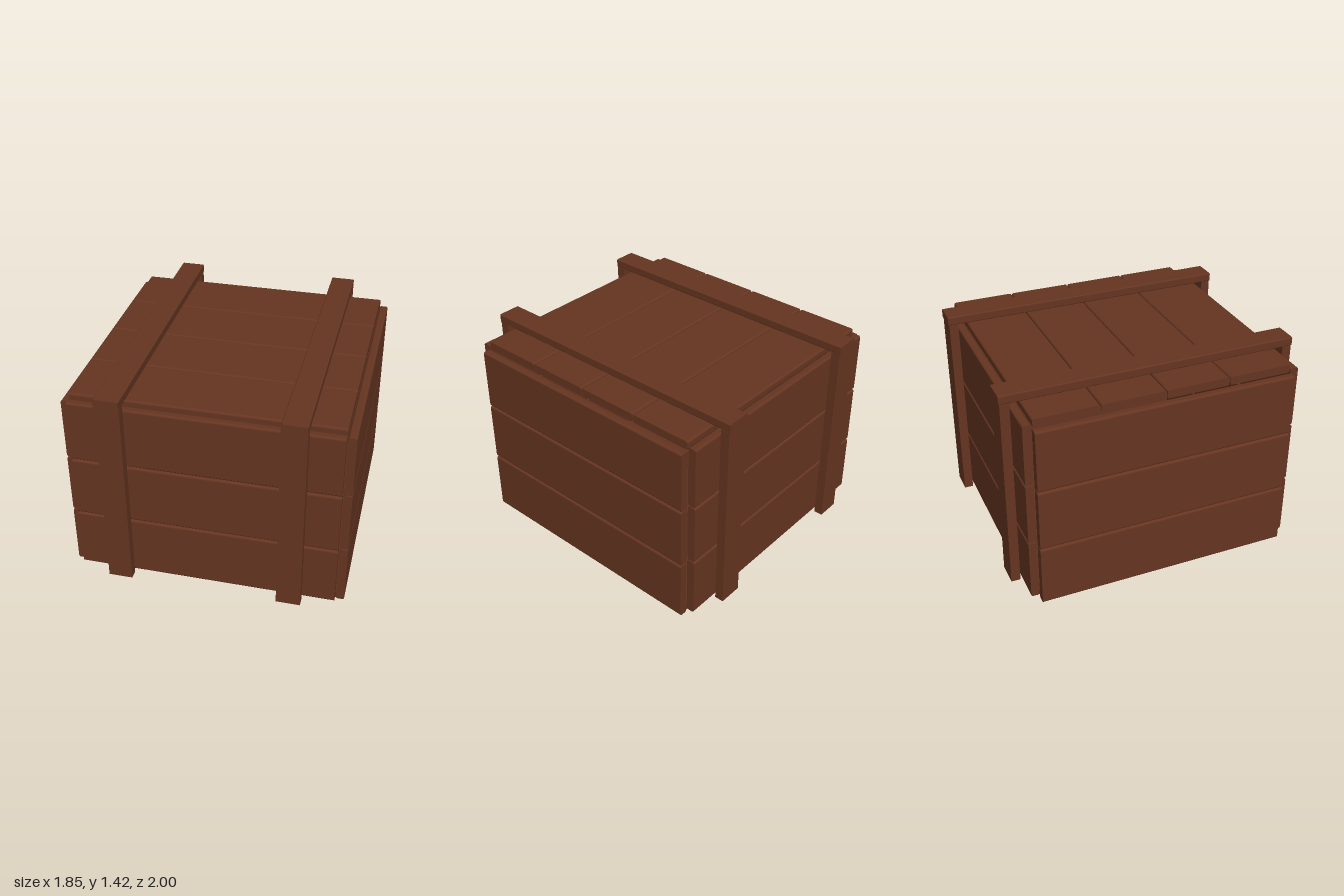
import * as THREE from 'three';

const wood = new THREE.MeshStandardMaterial({ color: 0x663521, flatShading: true });

// Board with softened long edges: section sx by sy, running along z (or x)
function board(name, sx, sy, length, alongX, x, y, z, r = 0.013) {
  const a = sx / 2 - r, b = sy / 2 - r, q = Math.PI / 2;
  const s = new THREE.Shape();
  s.absarc(a, b, r, 0, q);
  s.absarc(-a, b, r, q, 2 * q);
  s.absarc(-a, -b, r, 2 * q, 3 * q);
  s.absarc(a, -b, r, 3 * q, 4 * q);
  const geo = new THREE.ExtrudeGeometry(s, { depth: length, bevelEnabled: false, curveSegments: 2 });
  geo.translate(0, 0, -length / 2);
  if (alongX) geo.rotateY(Math.PI / 2);
  const mesh = new THREE.Mesh(geo, wood);
  mesh.name = name;
  mesh.position.set(x, y, z);
  return mesh;
}

export function createModel() {
  const crate = new THREE.Group();
  crate.name = 'woodenCrate';
  const thick = 0.056, wide = 0.424, pitch = 0.432;

  // Walls: three planks on each side
  for (const s of [-1, 1]) {
    for (let i = 0; i < 3; i++) {
      crate.add(board(s > 0 ? 'leftPlank' : 'rightPlank', thick, wide, 1.735, false,
        s * 0.898, 0.217 + i * pitch, 0));
      crate.add(board(s > 0 ? 'frontPlank' : 'backPlank', thick, wide, 1.735, true,
        0, 0.242 + i * pitch, s * 0.897));
    }
  }

  // Lid and floor: four planks each
  for (let i = 0; i < 4; i++) {
    const z = (i - 1.5) * pitch;
    crate.add(board('lidPlank', wide + 0.003, thick, 1.735, true, 0, 1.322, z));
    crate.add(board('floorPlank', wide + 0.003, thick, 1.735, true, 0, 0.028, z));
  }

  // Two battens over the lid, each with a front and back upright
  for (const x of [-0.578, 0.572]) {
    crate.add(board('topBatten', 0.162, 0.06, 2, false, x, 1.39, 0, 0.008));
    for (const s of [-1, 1]) {
      const post = new THREE.Mesh(new THREE.BoxGeometry(0.162, 1.35, 0.062), wood);
      post.name = s > 0 ? 'frontUpright' : 'backUpright';
      post.position.set(x, 0.686, s * 0.963);
      crate.add(post);
    }
  }
  return crate;
}
